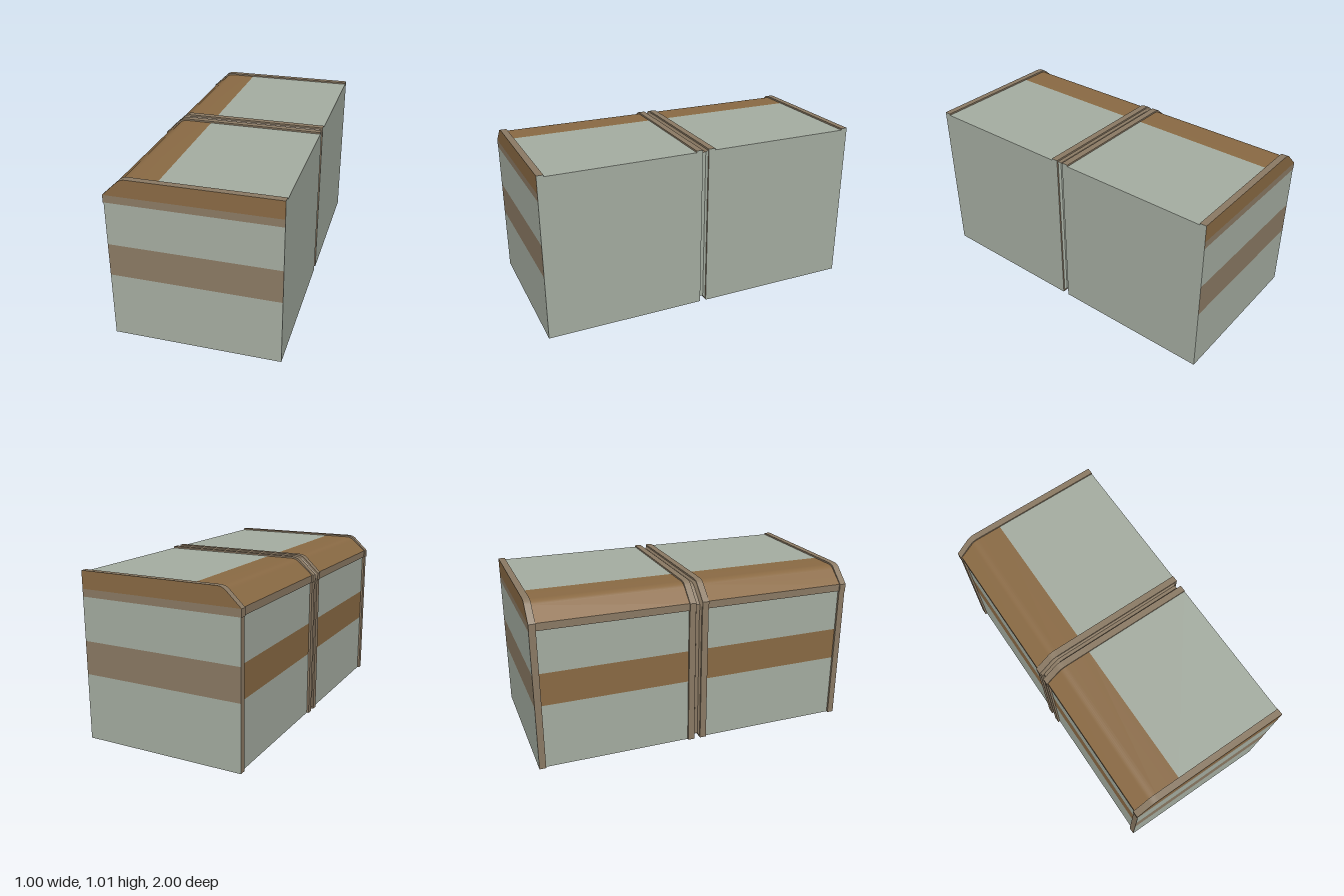
import * as THREE from 'three';
import { toCreasedNormals } from 'three/addons/utils/BufferGeometryUtils.js';

const mat = (name, color) => new THREE.MeshStandardMaterial({ name, color, side: THREE.DoubleSide });

// Cross-section outline, counter-clockwise seen from +z.
// inset lowers the roof and slope, lip and wall are the x of the left side.
function outline(inset, lip, wall) {
  const top = 1.01 - inset, shift = inset * 0.41;
  const bend = new THREE.QuadraticBezierCurve(
    new THREE.Vector2(-0.36 + shift, top),
    new THREE.Vector2(-0.395 + shift, top),
    new THREE.Vector2(-0.415 + shift, top - 0.02)
  ).getPoints(6);
  const v = (x, y) => new THREE.Vector2(x, y);
  return [
    v(0.5, 0), v(0.5, 0.4), v(0.5, 0.6), v(0.5, 0.86), v(0.5, 0.905), v(0.5, top),
    v(-0.2, top), ...bend,
    v(lip, 0.905), v(lip, 0.86), v(wall, 0.86), v(wall, 0.6), v(wall, 0.4), v(wall, 0),
  ];
}

export function createModel() {
  const grey = mat('grey green', 0xa5ada1);
  const taupe = mat('taupe', 0x8b7a64);
  const brown = mat('warm brown', 0x8a6a44);
  const model = new THREE.Group();

  const frame = outline(0, -0.505, -0.5);
  const panel = outline(0.01, -0.497, -0.487);
  const shrink = (s) => frame.map((p) => new THREE.Vector2(p.x * s, 0.505 + (p.y - 0.505) * s));

  // Skin between two outlines, one mesh for each colour
  function skin(name, a, za, b, zb, pick) {
    const group = new THREE.Group();
    group.name = name;
    const quads = new Map();
    a.forEach((p, i) => {
      const j = (i + 1) % a.length, q = a[j];
      const m = pick((p.x + q.x) / 2, (p.y + q.y) / 2);
      if (!quads.has(m)) quads.set(m, []);
      const A = [p.x, p.y, za], B = [q.x, q.y, za];
      const C = [b[j].x, b[j].y, zb], D = [b[i].x, b[i].y, zb];
      quads.get(m).push(...A, ...B, ...C, ...A, ...C, ...D);
    });
    for (const [m, pos] of quads) {
      const g = new THREE.BufferGeometry();
      g.setAttribute('position', new THREE.Float32BufferAttribute(pos, 3));
      const mesh = new THREE.Mesh(toCreasedNormals(g, 0.5), m);
      mesh.name = name + ' ' + m.name;
      group.add(mesh);
    }
    model.add(group);
  }

  // Flat wall across the block
  function wall(name, points, z, material) {
    const mesh = new THREE.Mesh(new THREE.ShapeGeometry(new THREE.Shape(points)), material);
    mesh.name = name;
    mesh.position.z = z;
    model.add(mesh);
  }

  const frameColour = (x, y) => (x > 0.47 ? grey : taupe);
  const panelColour = (x, y) => {
    if (y < 0.01) return taupe;
    if (x > -0.2) return grey;
    if (y > 0.9) return brown;
    if (y > 0.85) return taupe;
    return y > 0.4 && y < 0.6 ? brown : grey;
  };

  // Two halves: panels with a raised frame at each end
  for (const s of [1, -1]) {
    const span = (name, z0, z1, points, pick) =>
      skin(name, points, Math.min(s * z0, s * z1), points, Math.max(s * z0, s * z1), pick);
    span('innerFrame', 0.02, 0.06, frame, frameColour);
    span('panel', 0.06, 0.96, panel, panelColour);
    span('outerFrame', 0.96, 1, frame, frameColour);
    for (const z of [0.02, 0.06, 0.96]) wall('frameWall', frame, s * z, taupe);

    // End face in horizontal bands
    const bands = [[0, 0.4, grey], [0.4, 0.6, taupe], [0.6, 0.86, grey], [0.86, 0.905, taupe], [0.905, 1.02, brown]];
    for (const [y0, y1, m] of bands) {
      wall('endBand', frame.filter((p) => p.y >= y0 && p.y <= y1), s, m);
    }
  }

  // Sunken joint between the halves
  const rings = [[-0.02, 0.98], [-0.01, 0.955], [0.01, 0.955], [0.02, 0.98]];
  for (let i = 0; i < 3; i++) {
    skin('joint', shrink(rings[i][1]), rings[i][0], shrink(rings[i + 1][1]), rings[i + 1][0], frameColour);
  }
  return model;
}
